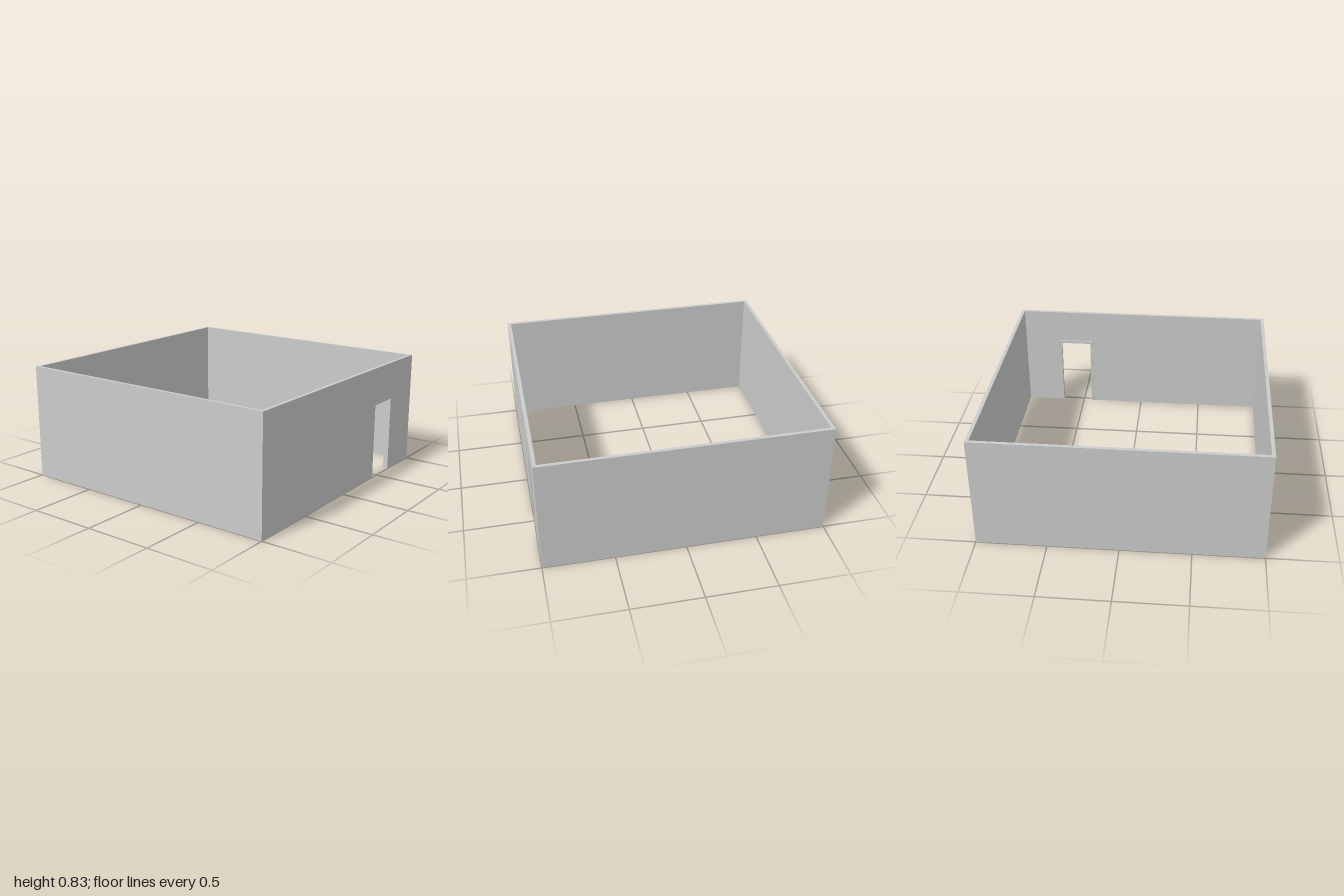
import * as THREE from 'three';

const H = 0.833, T = 0.025;                        // wall height and thickness
const DOOR = { x0: 0.432, x1: 0.675, h: 0.555 };   // doorway opening
const TRIM = { w: 0.021, d: 0.011 };               // door trim width and depth

// Upside-down U outline: a rectangle with a doorway notch rising from the floor
function archShape(x0, x1, top) {
  return new THREE.Shape([
    [x0, 0], [DOOR.x0, 0], [DOOR.x0, DOOR.h], [DOOR.x1, DOOR.h],
    [DOOR.x1, 0], [x1, 0], [x1, top], [x0, top],
  ].map(([x, y]) => new THREE.Vector2(x, y)));
}

export function createModel() {
  const group = new THREE.Group();
  group.name = 'room';
  const material = new THREE.MeshStandardMaterial({ color: 0xcccccc });

  const add = (name, geometry, x, y, z) => {
    const mesh = new THREE.Mesh(geometry, material);
    mesh.name = name;
    mesh.position.set(x, y, z);
    group.add(mesh);
  };
  const extrude = (shape, depth) =>
    new THREE.ExtrudeGeometry(shape, { depth, bevelEnabled: false });

  // Front wall with the doorway cut out
  add('frontWall', extrude(archShape(-1, 1, H), T), 0, 0, 1 - T);

  // Plain back and side walls
  add('backWall', new THREE.BoxGeometry(2, H, T), 0, H / 2, -1 + T / 2);
  for (const [name, s] of [['leftWall', 1], ['rightWall', -1]]) {
    add(name, new THREE.BoxGeometry(T, H, 2 - 2 * T), s * (1 - T / 2), H / 2, 0);
  }

  // Thin trim around the doorway on the inside face
  const trim = archShape(DOOR.x0 - TRIM.w, DOOR.x1 + TRIM.w, DOOR.h + TRIM.w);
  add('doorTrim', extrude(trim, TRIM.d), 0, 0, 1 - T - TRIM.d);

  return group;
}
